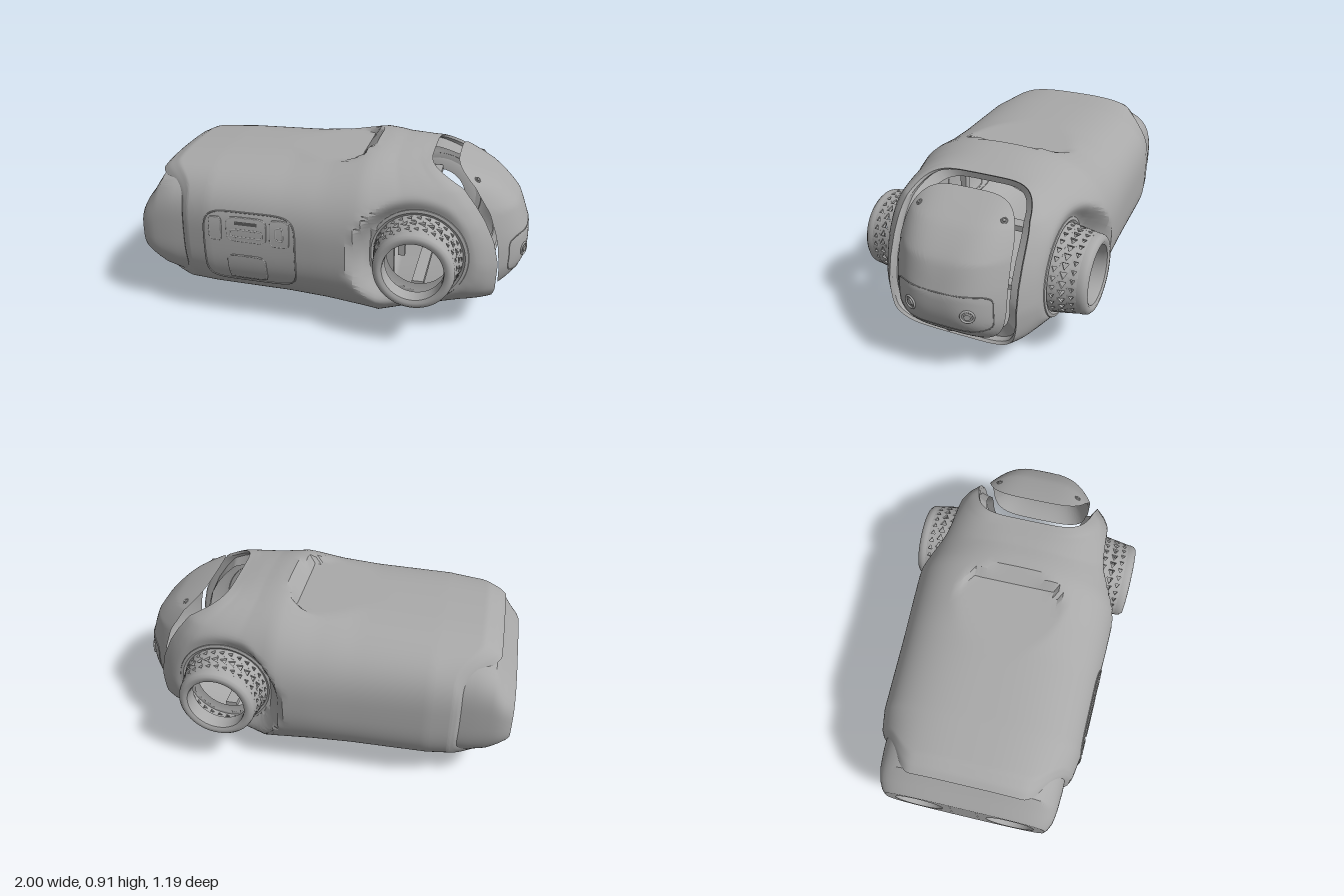
import * as THREE from 'three';
import { mergeGeometries, toCreasedNormals } from 'three/addons/utils/BufferGeometryUtils.js';

const shell = new THREE.MeshStandardMaterial({ color: 0xa9a9a9, side: THREE.DoubleSide });
shell.name = 'grey shell';
const dark = new THREE.MeshStandardMaterial({ color: 0x555555, side: THREE.DoubleSide });
dark.name = 'dark holes';

const SEG = 128;
const lerp = THREE.MathUtils.lerp;
const smooth = THREE.MathUtils.smoothstep;
const spow = (v, p) => Math.sign(v) * Math.abs(v) ** p;

// linear interpolation of table rows keyed by their first entry
function sample(table, k) {
  let i = 0;
  while (i < table.length - 2 && k > table[i + 1][0]) i++;
  const a = table[i], b = table[i + 1];
  const f = THREE.MathUtils.clamp((k - a[0]) / (b[0] - a[0]), 0, 1);
  return a.slice(1).map((v, j) => lerp(v, b[j + 1], f));
}

// rounded cross-section loop of [y, z]
function loop(yb, yt, hw, n) {
  return Array.from({ length: SEG }, (_, j) => {
    const t = (j / SEG) * Math.PI * 2;
    return [(yb + yt) / 2 + (yt - yb) / 2 * spow(Math.sin(t), 2 / n), hw * spow(Math.cos(t), 2 / n)];
  });
}

// skin over closed loops of [x, y, z]; skip(x, y, z) leaves openings
function loft(rings, skip = () => false, crease = 0.6) {
  const pos = rings.flat(2), idx = [];
  rings.slice(0, -1).forEach((ring, i) => ring.forEach((p, j) => {
    const q = rings[i + 1][(j + 1) % SEG];
    if (skip((p[0] + q[0]) / 2, (p[1] + q[1]) / 2, (p[2] + q[2]) / 2)) return;
    const a = i * SEG + j, b = i * SEG + (j + 1) % SEG;
    idx.push(a, a + SEG, b, a + SEG, b + SEG, b);
  }));
  const g = new THREE.BufferGeometry();
  g.setAttribute('position', new THREE.Float32BufferAttribute(pos, 3));
  g.setIndex(idx);
  return toCreasedNormals(g, crease);
}

// body stations: key, bottom, top, half width, squareness
const BODY = [
  [-1, 0.17, 0.765, 0.465, 3.2], [-0.9, 0.13, 0.795, 0.49, 3], [-0.7, 0.1, 0.825, 0.505, 3],
  [0, 0.095, 0.838, 0.523, 3], [0.46, 0.08, 0.85, 0.535, 2.8], [0.69, 0.055, 0.875, 0.545, 2.6],
  [0.91, 0.02, 0.915, 0.55, 2.5], [1, 0, 0.91, 0.535, 2.5], [1.25, 0.04, 0.9, 0.5, 2.6],
  [1.5, 0.08, 0.893, 0.47, 2.8], [1.75, 0.12, 0.884, 0.43, 3.2], [1.9, 0.144, 0.878, 0.385, 4],
  [2, 0.16, 0.875, 0.335, 5]];
const FACE_RIM = [[0.16, 0.83], [0.25, 0.855], [0.4, 0.86], [0.5, 0.84], [0.6, 0.8], [0.7, 0.735], [0.78, 0.67], [0.875, 0.49]];
const SHOULDER = [0.47, 0.44];

function bodyRing(u) {
  return loop(...sample(BODY, u)).map(([y, z]) => {
    let x = -0.6 + 0.87 * u;
    if (u < 0) x = lerp(-0.6, -0.91 + 0.16 * smooth(Math.abs(z), 0.28, 0.47), -u);
    if (u > 1) x = lerp(0.27, sample(FACE_RIM, y)[0], u - 1);
    // sunken top panel
    const q = (Math.abs(z) / 0.28) ** 4 + (Math.max(0, x + 0.1) / 0.27) ** 4;
    if (y > 0.7) y = lerp(Math.min(y, 0.847), y, smooth(q, 0.75, 1.1));
    // flat dishes around the shoulders
    const d = Math.hypot(x - SHOULDER[0], y - SHOULDER[1]), w = Math.abs(z);
    if (w > 0.41) z = Math.sign(z) * (0.41 + (w - 0.41) * smooth(d, 0.24, 0.34));
    return [x, y, z];
  });
}

function sideZ(x, y) {
  const [yb, yt, hw, n] = sample(BODY, (x + 0.6) / 0.87);
  return hw * (1 - Math.abs((y - (yb + yt) / 2) / ((yt - yb) / 2)) ** n) ** (1 / n);
}

// face plate: a bulged rounded rectangle on a curved back
const MASK = [[0.2, 0.865], [0.35, 0.865], [0.5, 0.85], [0.65, 0.8], [0.77, 0.72], [0.87, 0.615]];
const maskX = (y, rho, bulge) => sample(MASK, y)[0] + bulge * (1 - rho ** 3);
function onMask(y, z) {
  const rho = (Math.abs(z / 0.287) ** 4 + Math.abs((y - 0.537) / 0.328) ** 4) ** 0.25;
  return new THREE.Vector3(maskX(y, rho, 0.145), y, z);
}
const maskRing = (rho, bulge) => loop(0.537 - 0.328 * rho, 0.537 + 0.328 * rho, 0.287 * rho, 4)
  .map(([y, z]) => [maskX(y, rho, bulge), y, z]);

// raised seam following a rounded rectangle on a surface
function seam(cx, cy, w, h, place, r = 0.004) {
  const pts = Array.from({ length: 48 }, (_, i) => {
    const t = (i / 48) * Math.PI * 2;
    return place(cx + w / 2 * spow(Math.cos(t), 0.35), cy + h / 2 * spow(Math.sin(t), 0.35));
  });
  return new THREE.TubeGeometry(new THREE.CatmullRomCurve3(pts, true), 120, r, 6, true);
}

export function createModel() {
  const model = new THREE.Group();
  const add = (name, geo, parent = model, mat = shell) => {
    const m = new THREE.Mesh(geo, mat);
    m.name = name;
    parent.add(m);
    return m;
  };

  // body with open shoulders and an inward lip around the face
  const rings = [];
  for (let u = -1; u < 2.001; u += 0.04) rings.push(bodyRing(Math.min(u, 2)));
  const rim = rings[rings.length - 1];
  for (const [k, dx] of [[0.97, 0.012], [0.96, 0.045], [0.83, 0.05]])
    rings.push(rim.map(([x, y, z]) => [x - dx, 0.5175 + (y - 0.5175) * k, z * k]));
  add('body', loft(rings, (x, y, z) => Math.abs(z) > 0.3 && Math.hypot(x - SHOULDER[0], y - SHOULDER[1]) < 0.2));

  // waist cap and its end plate with two round sockets
  const CAP = [[-1, 0.27, 0.59, 0.42], [-0.985, 0.255, 0.615, 0.435], [-0.95, 0.225, 0.66, 0.452],
    [-0.92, 0.195, 0.71, 0.458], [-0.89, 0.17, 0.755, 0.462], [-0.8, 0.14, 0.785, 0.468], [-0.65, 0.13, 0.79, 0.47]];
  add('waistCap', loft(CAP.map(([x, ...s]) => loop(...s, 3.4).map((p) => [x, ...p]))));
  const plate = new THREE.Shape(loop(0.27, 0.59, 0.42, 3.4).map(([y, z]) => new THREE.Vector2(z, y)));
  for (const s of [-1, 1]) plate.holes.push(new THREE.Path().absarc(s * 0.24, 0.43, 0.125, 0, Math.PI * 2, true));
  add('endPlate', new THREE.ExtrudeGeometry(plate, { depth: 0.02, bevelEnabled: false, curveSegments: 32 })
    .rotateY(-Math.PI / 2).translate(-0.98, 0, 0));
  for (const s of [-1, 1]) {
    const at = (g, x) => g.rotateY(Math.PI / 2).translate(x, 0.43, s * 0.24);
    add('socketWall', new THREE.CylinderGeometry(0.125, 0.125, 0.1, 40, 1, true).rotateZ(Math.PI / 2).translate(-0.94, 0.43, s * 0.24));
    add('socketRing', at(new THREE.RingGeometry(0.085, 0.125, 40), -0.94));
    add('socketFloor', at(new THREE.CircleGeometry(0.125, 40), -0.89));
  }
  const bolts = [];
  for (const y of [0.3, 0.37, 0.43, 0.49, 0.56]) for (const z of [-0.07, 0.07])
    bolts.push(new THREE.CircleGeometry(0.009, 10).rotateY(-Math.PI / 2).translate(-1.0005, y, z));
  add('endPlateBoltHoles', mergeGeometries(bolts), model, dark);

  // face plate
  const face = new THREE.Group();
  face.name = 'face';
  model.add(face);
  const steps = Array.from({ length: 25 }, (_, i) => 0.001 + 0.999 * Math.sin((i / 24) * Math.PI / 2));
  add('facePlate', loft([...steps.map((r) => maskRing(r, 0.125)), ...steps.slice().reverse().map((r) => maskRing(r, 0.145))]), face);
  add('lowerFaceSeam', seam(0, 0.412, 0.49, 0.205, (z, y) => onMask(y, z), 0.003), face);
  const stud = (name, y, z, r) => {
    const g = new THREE.Group();
    g.name = name;
    const p = onMask(y, z), dy = onMask(y + 0.01, z).sub(p), dz = onMask(y, z + 0.01).sub(p);
    g.position.copy(p);
    g.quaternion.setFromUnitVectors(new THREE.Vector3(0, 0, 1), dy.cross(dz).normalize());
    add(name + 'Rim', new THREE.TorusGeometry(r, r * 0.18, 8, 28), g);
    add(name + 'Core', new THREE.CylinderGeometry(r * 0.5, r * 0.6, 0.008, 20).rotateX(Math.PI / 2).translate(0, 0, 0.002), g);
    face.add(g);
  };
  for (const s of [-1, 1]) {
    stud('eye', 0.413, s * 0.147, 0.031);
    stud('screw', 0.795, s * 0.218, 0.014);
  }
  stud('screw', 0.234, 0, 0.013);

  // perforated shoulder drums
  const N = 30, rows = [0.6, 0.85, 0.6], cells = [];
  rows.forEach((size, row) => {
    for (let c = 0; c < N; c++) {
      const cell = new THREE.Shape([[0, 0], [1, 0], [1, 1], [0, 1]].map((p) => new THREE.Vector2(...p)));
      const e = size * 0.44;
      cell.holes.push(new THREE.Path([[0.5 - e, 0.5 - e], [0.5 - e, 0.5 + e], [0.5 + e, 0.5]].map((p) => new THREE.Vector2(...p))));
      const g = new THREE.ExtrudeGeometry(cell, { depth: 0.012, bevelEnabled: false });
      const p = g.attributes.position;
      for (let i = 0; i < p.count; i++) {
        const a = (c + p.getX(i) + row * 0.5) / N * Math.PI * 2;
        const z = 0.412 + (row + p.getY(i)) * 0.046;
        const r = 0.212 - (z - 0.412) * 0.17 + p.getZ(i);
        p.setXYZ(i, r * Math.cos(a), r * Math.sin(a), z);
      }
      g.computeVertexNormals();
      cells.push(g);
    }
  });
  const drum = mergeGeometries(cells);
  const lathe = (pts) => toCreasedNormals(new THREE.LatheGeometry(pts.map((p) => new THREE.Vector2(...p)), 64).rotateX(Math.PI / 2), 0.7);
  const lip = lathe([[0.2, 0.548], [0.2, 0.565], [0.195, 0.582], [0.183, 0.594], [0.165, 0.596], [0.15, 0.588], [0.147, 0.57], [0.147, 0.51], [0.17, 0.5]]);
  const flange = lathe([[0.16, 0.4], [0.215, 0.405], [0.235, 0.418], [0.25, 0.415], [0.255, 0.405]]);
  for (const s of [1, -1]) {
    const g = new THREE.Group();
    g.name = s > 0 ? 'frontShoulder' : 'backShoulder';
    g.position.set(...SHOULDER, 0);
    if (s < 0) g.rotation.y = Math.PI;
    add('perforatedDrum', drum, g);
    add('shoulderLip', lip, g);
    add('shoulderFlange', flange, g);
    model.add(g);
  }

  // inner frame beams seen through the shoulders and the face gap
  for (const y of [0.26, 0.62]) add('frameBeam', new THREE.BoxGeometry(0.06, 0.03, 0.74).translate(0.47, y, 0));
  for (const z of [-0.2, 0.2]) add('framePost', new THREE.BoxGeometry(0.04, 0.66, 0.03).translate(0.3, 0.45, z));

  // service panel on the front side
  const onSide = (x, y) => new THREE.Vector3(x, y, sideZ(x, y) + 0.001);
  const panel = new THREE.Group();
  panel.name = 'servicePanel';
  model.add(panel);
  add('panelSeam', seam(-0.368, 0.432, 0.485, 0.395, onSide), panel);
  const inset = (name, cx, cy, w, h, mat) => {
    const g = new THREE.PlaneGeometry(w, h, 10, 10).translate(cx, cy, 0), p = g.attributes.position;
    for (let i = 0; i < p.count; i++) p.setZ(i, sideZ(p.getX(i), p.getY(i)) + 0.005);
    g.computeVertexNormals();
    add(name, g, panel, mat);
  };
  for (const [x, y, w, h] of [[-0.547, 0.535, 0.062, 0.12], [-0.38, 0.54, 0.205, 0.125], [-0.205, 0.537, 0.095, 0.135], [-0.385, 0.325, 0.2, 0.14]]) {
    inset('panelCover', x, y, w, h, shell);
    add('coverSeam', seam(x, y, w, h, onSide, 0.005), panel);
  }
  inset('handleSlot', -0.38, 0.575, 0.12, 0.018, dark);
  add('handleSeam', seam(-0.38, 0.52, 0.17, 0.04, onSide, 0.006), panel);
  add('buttonSeam', seam(-0.205, 0.537, 0.035, 0.065, onSide, 0.006), panel);

  // speaker dots under the belly
  const dots = [];
  for (const [cx, u] of [[0.1, 0.8], [-0.7, -0.32]]) for (let i = -5; i <= 5; i++) for (let k = -5; k <= 5; k++) {
    if (i * i + k * k > 27) continue;
    const x = cx + i * 0.017, y = sample(BODY, x < -0.6 ? (x + 0.6) / 0.31 : (x + 0.6) / 0.87)[0];
    dots.push(new THREE.CircleGeometry(0.005, 6).rotateX(Math.PI / 2).translate(x, y - 0.001, k * 0.017));
  }
  add('speakerDots', mergeGeometries(dots), model, dark);
  return model;
}
